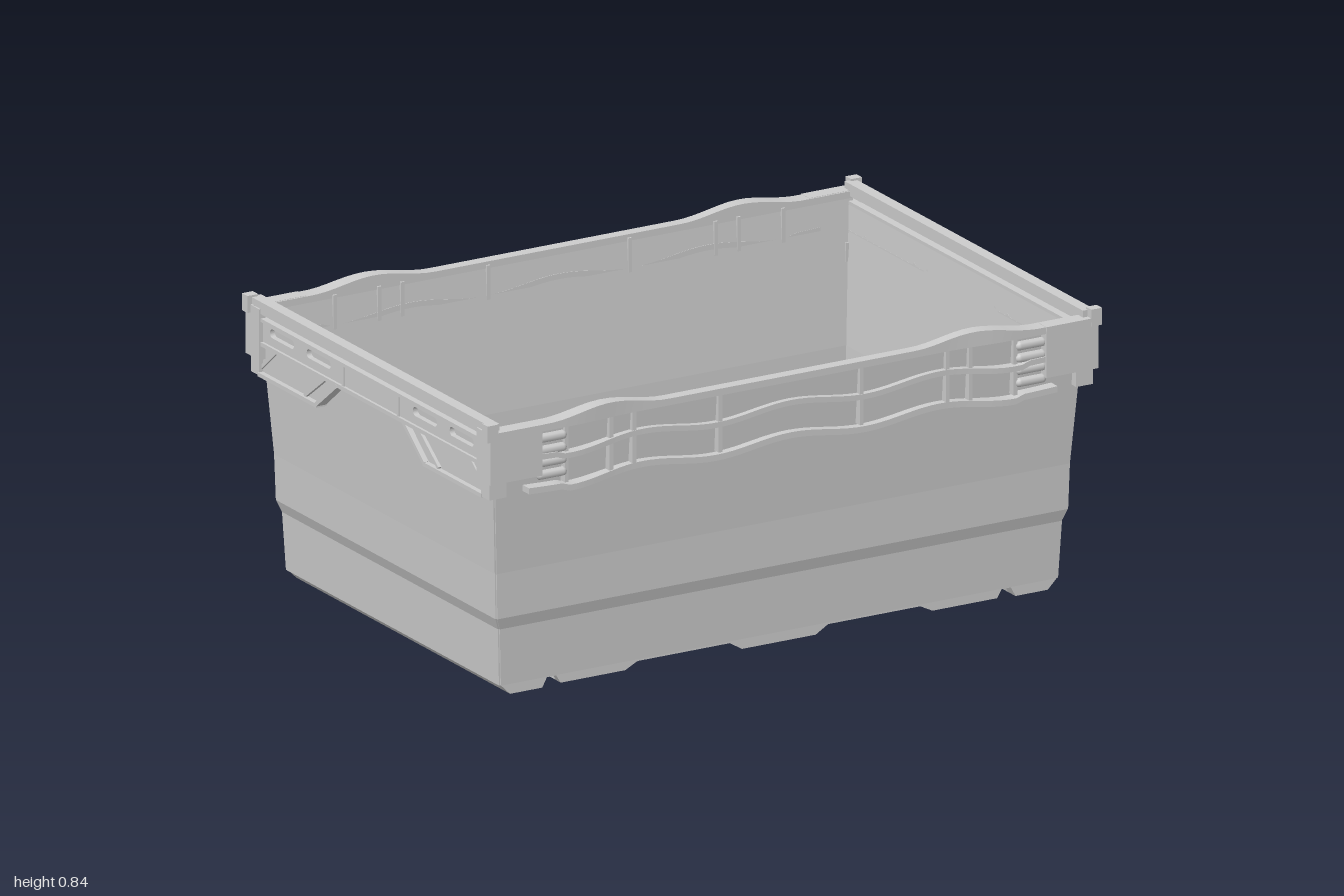
import * as THREE from 'three';

const T = 0.018; // wall thickness
// wall levels: height, half width of the ends (x), half depth of the long sides (z)
const LEVELS = [[0.03, 0.91, 0.585], [0.2, 0.918, 0.593], [0.235, 0.932, 0.603], [0.37, 0.936, 0.606], [0.8, 0.965, 0.64]];

export function createModel() {
  const crate = new THREE.Group();
  const mat = new THREE.MeshStandardMaterial({ color: 0xcccccc });

  function add(parent, name, geo, x = 0, y = 0, z = 0) {
    const mesh = new THREE.Mesh(geo, mat);
    mesh.name = name;
    mesh.position.set(x, y, z);
    parent.add(mesh);
    return mesh;
  }
  const box = (parent, name, w, h, d, x, y, z) => add(parent, name, new THREE.BoxGeometry(w, h, d), x, y, z);

  // rounded slot centred on x, y
  function slot(x, y, w, h, r = Math.min(w, h) / 2 - 0.001) {
    const p = new THREE.Path(), a = w / 2, b = h / 2;
    p.moveTo(x - a + r, y - b);
    p.lineTo(x + a - r, y - b);
    p.absarc(x + a - r, y - b + r, r, -Math.PI / 2, 0);
    p.absarc(x + a - r, y + b - r, r, 0, Math.PI / 2);
    p.absarc(x - a + r, y + b - r, r, Math.PI / 2, Math.PI);
    p.absarc(x - a + r, y - b + r, r, Math.PI, Math.PI * 1.5);
    return p;
  }
  function plate(points, depth, holes = []) {
    const s = new THREE.Shape(points.map(p => new THREE.Vector2(p[0], p[1])));
    s.holes.push(...holes);
    return new THREE.ExtrudeGeometry(s, { depth, bevelEnabled: false, curveSegments: 5 });
  }

  // leaning wall facing local +z, one strip per level; holes lie in the top strip
  function wall(side, out, len, top, holes) {
    for (let i = 0; i < LEVELS.length - 1; i++) {
      const a = LEVELS[i], b = LEVELS[i + 1], last = i === LEVELS.length - 2;
      const at = (y, k) => a[k] + (b[k] - a[k]) * (y - a[0]) / (b[0] - a[0]);
      const y1 = last ? top : b[0], l0 = a[len] - 0.004, l1 = at(y1, len) - 0.004;
      const geo = plate([[-l0, a[0]], [l0, a[0]], [l1, y1], [-l1, y1]], T, last ? holes : []);
      const p = geo.attributes.position;
      for (let j = 0; j < p.count; j++) p.setZ(j, p.getZ(j) - T + at(p.getY(j), out));
      geo.computeVertexNormals();
      add(side, 'wallPanel', geo);
    }
  }

  // straight bar between two points in the plane of a side
  function bar(side, name, a, b, thick, depth, z) {
    const dx = b[0] - a[0], dy = b[1] - a[1];
    const m = box(side, name, Math.hypot(dx, dy), thick, depth, (a[0] + b[0]) / 2, (a[1] + b[1]) / 2, z);
    m.rotation.z = Math.atan2(dy, dx);
  }

  // rail whose vertices follow a height rule and bulge near the corners
  function rail(side, name, len, h, z0, z1, y, rule) {
    const geo = new THREE.BoxGeometry(len, h, z1 - z0, 64, 1, 1);
    const p = geo.attributes.position;
    for (let i = 0; i < p.count; i++) {
      const x = p.getX(i);
      p.setY(i, p.getY(i) + rule(x, p.getY(i) > 0));
      if (p.getZ(i) > 0) p.setZ(i, p.getZ(i) + 0.012 * THREE.MathUtils.smoothstep(Math.abs(x), 0.5, 0.72));
    }
    geo.computeVertexNormals();
    add(side, name, geo, 0, y, (z0 + z1) / 2);
  }
  const hump = (x, c, w) => {
    const t = (Math.abs(x) - c) / w;
    return Math.abs(t) < 1 ? 0.5 + 0.5 * Math.cos(t * Math.PI) : 0;
  };
  const lowWave = x => 0.012 * Math.cos(x * 13) * (Math.abs(x) < 0.75 ? 1 : 0.3);

  // long sides
  for (const s of [1, -1]) {
    const side = new THREE.Group();
    side.name = s > 0 ? 'frontSide' : 'backSide';
    side.rotation.y = s > 0 ? 0 : Math.PI;
    crate.add(side);
    const holes = [-0.365, -0.145, 0.13, 0.355].map(x => slot(x * s, 0.495, 0.058, 0.21));
    holes.push(slot(-0.25, 0.765, 0.15, 0.034), slot(0.25, 0.765, 0.15, 0.034), slot(-0.46 * s, 0.658, 0.1, 0.03));
    wall(side, 2, 1, 0.8, holes);
    rail(side, 'topLip', 1.94, 0.02, 0.62, 0.655, 0.8, (x, up) => up ? 0.024 * hump(x, 0.6, 0.2) : 0);
    rail(side, 'middleRail', 1.7, 0.016, 0.615, 0.652, 0.715, lowWave);
    rail(side, 'lowerRail', 1.72, 0.018, 0.61, 0.65, 0.618, lowWave);
    for (const m of [1, -1]) {
      for (const x of [0.23, 0.51, 0.585, 0.73])
        box(side, 'rimRib', 0.012, 0.18, 0.036, m * x, 0.71, 0.632);
      // ribbed grip beside each corner
      for (let i = 0; i < 4; i++) {
        const g = new THREE.CapsuleGeometry(0.014, 0.07, 4, 8);
        g.rotateZ(Math.PI / 2);
        add(side, 'gripRidge', g, m * 0.78, 0.655 + i * 0.036, 0.648);
      }
      box(side, 'cornerPlate', 0.17, 0.15, 0.03, m * 0.905, 0.735, 0.653);
      box(side, 'cornerRib', 0.17, 0.012, 0.045, m * 0.905, 0.805, 0.6475);
      box(side, 'cornerFoot', 0.055, 0.055, 0.045, m * 0.955, 0.637, 0.628);
      box(side, 'cornerPeg', 0.035, 0.05, 0.03, m * 0.9825, 0.812, 0.655);
    }
    // scalloped foot under the wall
    const half = [[0.12, 0], [0.16, 0.024], [0.46, 0.024], [0.5, 0.004], [0.71, 0.004], [0.725, 0.028], [0.755, 0.028], [0.77, 0], [0.875, 0], [0.905, 0.03], [0.905, 0.045]];
    const foot = [...half, ...half.map(p => [-p[0], p[1]]).reverse()];
    add(side, 'sideFoot', plate(foot, 0.04), 0, 0, 0.543);
  }

  // short ends with hand holes
  for (const s of [1, -1]) {
    const side = new THREE.Group();
    side.name = s > 0 ? 'leftEnd' : 'rightEnd';
    side.rotation.y = s * Math.PI / 2;
    crate.add(side);
    const slots = () => [-0.49, -0.29, 0.29, 0.49].map(z => slot(z, 0.75, 0.13, 0.026));
    wall(side, 1, 2, 0.78, [...slots(), slot(0, 0.643, 0.4, 0.114, 0.035)]);
    box(side, 'topRail', 1.3, 0.036, 0.035, 0, 0.813, 0.9675);
    box(side, 'railLedge', 1.27, 0.01, 0.04, 0, 0.777, 0.965);
    box(side, 'lowerLedge', 1.27, 0.012, 0.04, 0, 0.706, 0.965);
    add(side, 'slottedBand', plate([[-0.63, 0.705], [0.63, 0.705], [0.63, 0.78], [-0.63, 0.78]], 0.02, slots()), 0, 0, 0.957);
    for (const m of [1, -1]) {
      const pts = [[0.2, 0.7], [0.3, 0.615], [0.6, 0.615], [0.625, 0.66], [0.625, 0.7]].map(p => [p[0] * m, p[1]]);
      add(side, 'handlePocket', plate(m > 0 ? pts : pts.slice().reverse(), 0.03), 0, 0, 0.94);
      bar(side, 'pocketEdge', [m * 0.18, 0.705], [m * 0.295, 0.615], 0.012, 0.045, 0.963);
      bar(side, 'pocketEdge', [m * 0.25, 0.705], [m * 0.365, 0.62], 0.01, 0.04, 0.96);
      bar(side, 'pocketEdge', [m * 0.29, 0.613], [m * 0.61, 0.613], 0.012, 0.045, 0.963);
      bar(side, 'pocketEdge', [m * 0.52, 0.705], [m * 0.61, 0.63], 0.01, 0.035, 0.958);
      box(side, 'bandRib', 0.01, 0.075, 0.03, m * 0.15, 0.742, 0.968);
      box(side, 'cornerPlate', 0.075, 0.15, 0.022, m * 0.63, 0.735, 0.979);
    }
    // foot runner across the end
    const runner = plate([[0.905, 0.03], [0.905, 0.045], [0.755, 0.045], [0.77, 0], [0.875, 0]], 1.14);
    runner.rotateY(-Math.PI / 2);
    add(side, 'endFoot', runner, 0.57, 0, 0);
  }

  // slotted floor
  const holes = [];
  for (const z of [-0.46, -0.31, -0.165, 0.14, 0.29, 0.44]) {
    for (let i = 0; i < 17; i++) holes.push(slot(-0.64 + i * 0.08, z, 0.044, 0.11));
    for (const x of [-0.83, 0.83]) holes.push(slot(x, z, 0.044, 0.11));
  }
  for (const z of [-0.545, 0.53])
    for (const x of [-0.83, -0.64, -0.32, 0, 0.32, 0.64, 0.83]) holes.push(slot(x, z, 0.06, 0.028));
  for (const x of [-0.83, -0.64, 0.64, 0.83]) holes.push(slot(x, -0.01, 0.06, 0.024));
  const floor = plate([[-0.9, -0.578], [0.9, -0.578], [0.9, 0.578], [-0.9, 0.578]], 0.018, holes);
  floor.rotateX(Math.PI / 2);
  add(crate, 'floor', floor, 0, 0.05, 0);

  // stiffening ribs under the floor
  for (const m of [1, -1]) {
    box(crate, 'floorLongRib', 1.5, 0.025, 0.02, 0, 0.022, m * 0.382);
    box(crate, 'floorCrossRib', 0.025, 0.025, 1.12, m * 0.705, 0.022, 0);
  }
  return crate;
}
